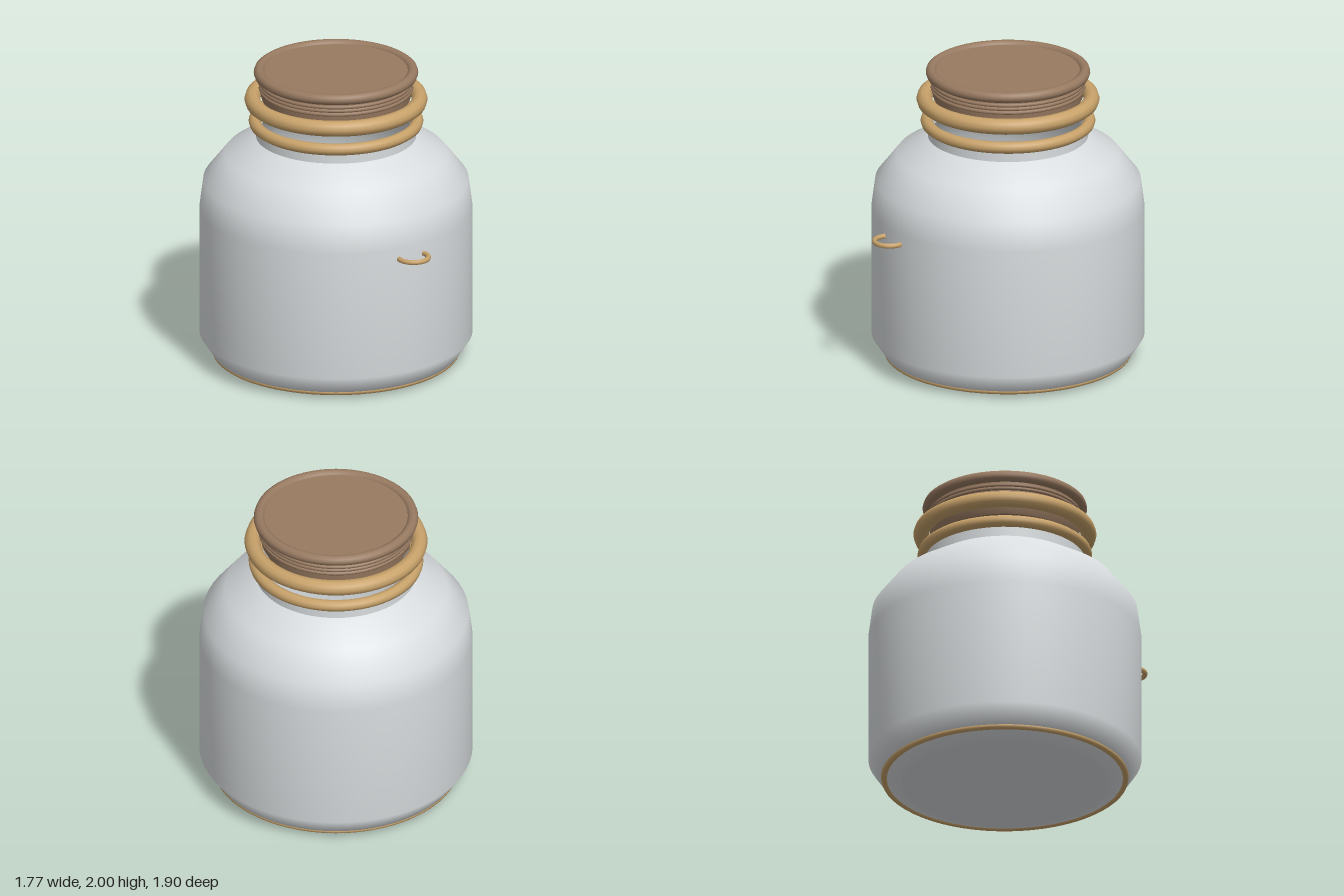
import * as THREE from 'three';

const paint = (name, color, side = THREE.FrontSide) => {
  const m = new THREE.MeshStandardMaterial({ color, side });
  m.name = name;
  return m;
};

export function createModel() {
  const ceramic = paint('pale grey', 0xd8dcde, THREE.DoubleSide);
  const tan = paint('tan', 0xc8a26a);
  const brown = paint('brown', 0x987a61);

  const model = new THREE.Group();
  model.name = 'jar';
  const vessel = new THREE.Group();
  vessel.name = 'vessel';
  const lid = new THREE.Group();
  lid.name = 'lid';
  vessel.position.z = lid.position.z = -0.067;
  model.add(vessel, lid);

  const add = (parent, name, geometry, material) => {
    const mesh = new THREE.Mesh(geometry, material);
    mesh.name = name;
    parent.add(mesh);
    return mesh;
  };
  // Turned surface from [radius, height] pairs, bottom to top
  const turn = (parent, name, points, material) =>
    add(parent, name, new THREE.LatheGeometry(points.map(p => new THREE.Vector2(...p)), 64), material);
  // Horizontal ring
  const ring = (parent, name, radius, tube, y, material, sides = 10, steps = 64) => {
    const mesh = add(parent, name, new THREE.TorusGeometry(radius, tube, sides, steps).rotateX(Math.PI / 2), material);
    mesh.position.y = y;
    return mesh;
  };

  // Open vessel: base, rounded wall and neck
  turn(vessel, 'base', [[0, 0], [0.67, 0]], ceramic);
  turn(vessel, 'wall', [
    [0.67, 0], [0.8, 0.05], [0.885, 0.175], [0.885, 1.04],
    [0.86, 1.23], [0.72, 1.41], [0.52, 1.53],
  ], ceramic);
  turn(vessel, 'neck', [[0.52, 1.53], [0.52, 1.63]], ceramic);
  ring(vessel, 'baseRing', 0.782, 0.021, 0.047, tan);
  ring(vessel, 'neckRing', 0.527, 0.039, 1.631, tan);

  // Lid floating above the neck
  turn(lid, 'lidUnderside', [[0, 1.722], [0.445, 1.722]], brown);
  turn(lid, 'lidSide', [[0.445, 1.722], [0.485, 1.8], [0.485, 1.96]], brown);
  const top = add(lid, 'lidTop', new THREE.CircleGeometry(0.475, 64).rotateX(-Math.PI / 2), brown);
  top.position.y = 1.98;
  ring(lid, 'lidRim', 0.497, 0.036, 1.966, brown);
  ring(lid, 'lidCollar', 0.541, 0.052, 1.781, tan);
  [1.857, 1.883, 1.907].forEach((y, i) => ring(lid, `lidThread${i + 1}`, 0.488, 0.013, y, brown, 8));

  // Small loop on the front
  ring(model, 'frontLoop', 0.098, 0.017, 0.97, tan, 8, 32).position.z = 0.835;

  return model;
}
